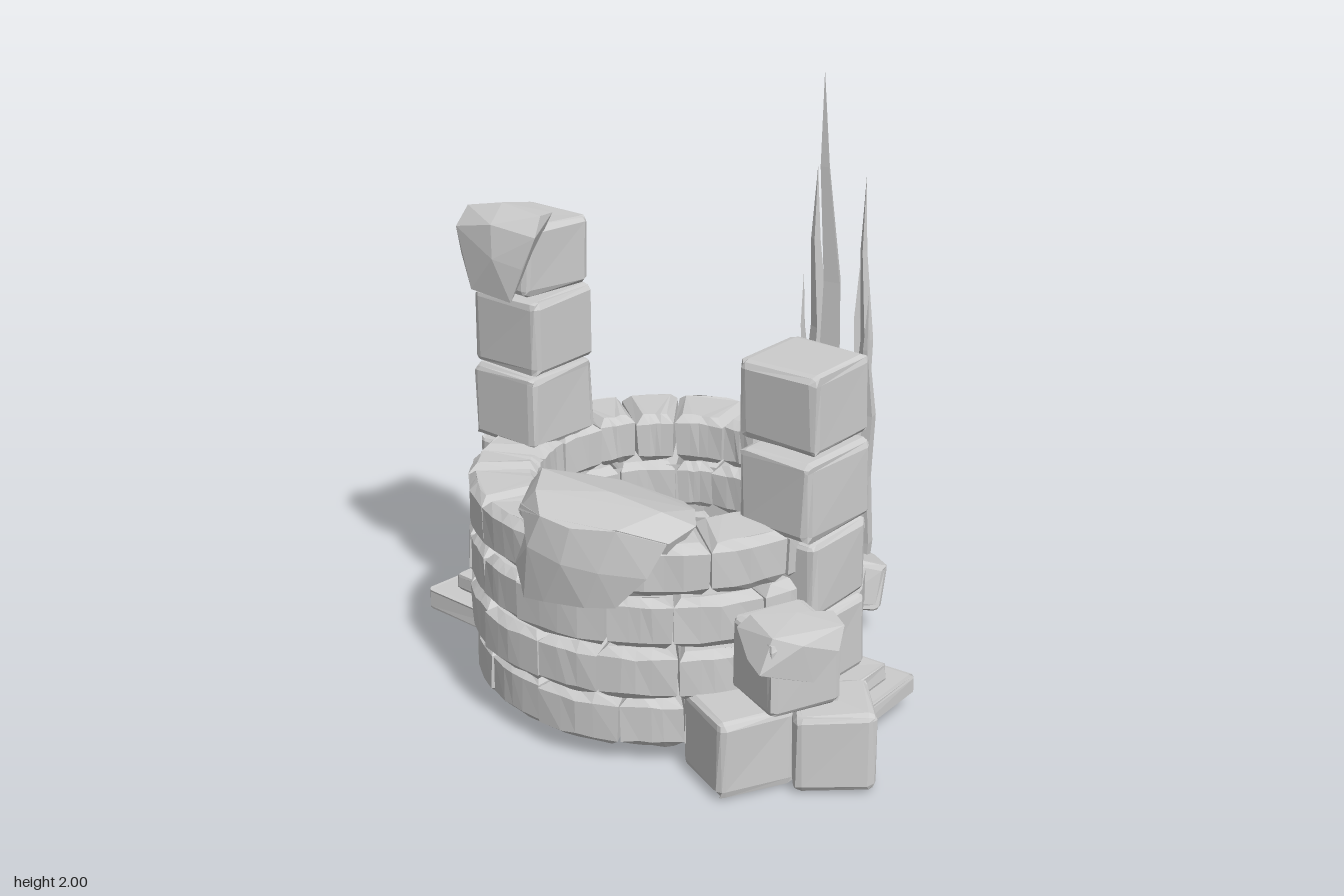
import * as THREE from 'three';
import { RoundedBoxGeometry } from 'three/addons/geometries/RoundedBoxGeometry.js';
import { ConvexGeometry } from 'three/addons/geometries/ConvexGeometry.js';

export function createModel() {
  const root = new THREE.Group();
  root.name = 'ruinedWell';
  // Bricks are open underneath, so both sides show
  const stone = new THREE.MeshStandardMaterial({ color: 0xcccccc, flatShading: true, side: THREE.DoubleSide });
  stone.name = 'paleStone';

  let seed = 7;
  const rnd = () => (seed = (seed * 16807) % 2147483647) / 2147483647;

  const add = (geo, name, parent = root) => {
    geo.computeVertexNormals();
    const m = new THREE.Mesh(geo, stone);
    m.name = name;
    parent.add(m);
    return m;
  };

  const group = (name) => {
    const g = new THREE.Group();
    g.name = name;
    root.add(g);
    return g;
  };

  // Shift equal corners equally so the chipped faces stay joined
  const chip = (geo, amount) => {
    const p = geo.attributes.position, s = rnd() * 50;
    for (let i = 0; i < p.count; i++) {
      const c = [p.getX(i), p.getY(i), p.getZ(i)];
      const k = c.map((v) => Math.round(v * 500));
      const n = (q) => {
        const v = Math.sin(k[0] * 12.99 + k[1] * 78.23 + k[2] * 37.72 + q * 19.1 + s) * 4375.85;
        return (v - Math.floor(v) - 0.5) * amount;
      };
      p.setXYZ(i, c[0] + n(1), c[1] + n(2), c[2] + n(3));
    }
    return geo;
  };

  // Chamfered block: centre, size, rotation
  const block = (name, parent, [x, y, z], [w, h, d], [rx, ry, rz] = [0, 0, 0], bevel = 0.024) => {
    const m = add(chip(new RoundedBoxGeometry(w, h, d, 1, bevel), 0.01), name, parent);
    m.position.set(x, y, z);
    m.rotation.set(rx, ry, rz);
    return m;
  };

  // Curved brick with bevelled edges and an open underside
  const brickGeometry = (a0, a1, ri, ro, h) => {
    const b = 0.026;
    const shape = new THREE.Shape();
    shape.absarc(0, 0, ro - b, a0 + b / ro, a1 - b / ro, false);
    shape.absarc(0, 0, ri + b, a1 - b / ri, a0 + b / ri, true);
    const full = new THREE.ExtrudeGeometry(shape, {
      depth: h - 2 * b, bevelThickness: b, bevelSize: b, bevelSegments: 1, curveSegments: 2,
    }).translate(0, 0, b).rotateX(-Math.PI / 2);
    const src = full.attributes.position.array, kept = [];
    for (let i = 0; i < src.length; i += 9) {
      if (Math.max(src[i + 1], src[i + 4], src[i + 7]) > 0.001) kept.push(...src.slice(i, i + 9));
    }
    const geo = new THREE.BufferGeometry();
    geo.setAttribute('position', new THREE.Float32BufferAttribute(kept, 3));
    return geo;
  };

  // Four courses of bricks; a stretch of the top course has fallen out
  const wall = group('wellWall');
  wall.position.set(-0.06, 0, 0.17);
  [0.64, 0.658, 0.652, 0.65].forEach((radius, row) => {
    const gap = row === 3 ? [0.9, 1.48] : null;
    const span = gap ? Math.PI * 2 - (gap[1] - gap[0]) : Math.PI * 2;
    const widths = Array.from({ length: gap ? 15 : 16 }, () => 0.7 + rnd() * 0.6);
    const total = widths.reduce((a, b) => a + b);
    let a = gap ? gap[1] : row * 0.21;
    for (const w of widths) {
      const next = a + (w / total) * span;
      const ro = radius + rnd() * 0.015;
      const geo = brickGeometry(a + 0.004, next - 0.004, 0.42 + rnd() * 0.012, ro, 0.175);
      add(chip(geo, 0.008), 'brick', wall).position.y = 0.057 + row * 0.18;
      a = next;
    }
  });
  // Inner lining behind the joints
  add(new THREE.CylinderGeometry(0.445, 0.445, 0.5, 32, 1, true), 'lining', wall).position.y = 0.33;

  // Stepped footings under the pillars
  const steps = group('footings');
  block('lowerSlab', steps, [-0.665, 0.1, 0.19], [0.54, 0.08, 0.52], [0, -0.06, 0], 0.012);
  block('upperSlab', steps, [-0.63, 0.17, 0.18], [0.44, 0.065, 0.42], [0, -0.05, 0], 0.012);
  block('lowerSlab', steps, [0.505, 0.09, 0.12], [0.52, 0.07, 0.5], [0, 0.06, 0], 0.012);
  block('upperSlab', steps, [0.49, 0.15, 0.14], [0.43, 0.065, 0.39], [0, 0.05, 0], 0.012);

  // Pillars of stacked blocks
  const right = group('rightPillar');
  [[-0.63, 0.33, 0.18], [-0.64, 0.61, 0.17], [-0.635, 0.88, 0.19], [-0.635, 1.15, 0.18], [-0.635, 1.418, 0.2]]
    .forEach((c, i) => block('pillarBlock', right, c, [0.285, i === 4 ? 0.24 : 0.265, 0.3],
      [i === 4 ? -0.07 : 0, (i % 2 ? 1 : -1) * 0.025, 0]));
  const left = group('leftPillar');
  [[0.5, 0.32, 0.145], [0.505, 0.595, 0.155], [0.52, 0.875, 0.175], [0.495, 1.152, 0.15]]
    .forEach((c, i) => block('pillarBlock', left, c, [i === 3 ? 0.3 : 0.285, 0.265, i === 2 ? 0.33 : 0.3],
      [0, (i % 2 ? 1 : -1) * 0.025, 0]));

  // Fallen blocks at the front, the back and inside the well
  const rubble = group('fallenBlocks');
  block('frontBlock', rubble, [0.56, 0.135, 0.56], [0.27, 0.265, 0.265], [0, -0.45, 0]);
  block('sideBlock', rubble, [0.785, 0.135, 0.37], [0.255, 0.265, 0.255], [0, -0.85, 0]);
  block('stackedBlock', rubble, [0.665, 0.405, 0.455], [0.255, 0.26, 0.255], [0, -0.4, 0]);
  block('backBlock', rubble, [-0.24, 0.175, -0.595], [0.21, 0.2, 0.2], [-0.25, 0.03, -0.25]);
  block('backBlock', rubble, [0.015, 0.17, -0.595], [0.21, 0.21, 0.19], [-0.15, -0.1, 0]);
  block('backBlock', rubble, [0.23, 0.175, -0.515], [0.2, 0.18, 0.18], [-0.3, -0.7, 0]);
  block('innerBlock', rubble, [-0.29, 0.17, -0.01], [0.24, 0.23, 0.24], [0, -0.72, 0]);

  // Faceted boulders draped over the stonework
  const boulder = (name, pts) =>
    add(new ConvexGeometry(pts.map((p) => new THREE.Vector3(...p))), name);
  boulder('wallBoulderTop', [
    [0.09, 0.87, 0.62], [-0.2, 0.79, 0.43], [-0.11, 0.76, 0.34], [0.13, 0.74, 0.31], [0.27, 0.79, 0.42],
    [0.38, 0.81, 0.55], [0.37, 0.79, 0.67], [0.3, 0.86, 0.62], [0.24, 0.83, 0.76], [-0.02, 0.83, 0.83],
    [-0.12, 0.86, 0.74], [-0.22, 0.86, 0.6], [-0.27, 0.8, 0.6], [-0.24, 0.72, 0.68], [-0.18, 0.78, 0.76],
    [0.1, 0.82, 0.82], [-0.1, 0.7, 0.37], [0.13, 0.68, 0.34], [0.26, 0.7, 0.46], [0.34, 0.7, 0.66],
    [-0.24, 0.71, 0.58],
  ]);
  boulder('wallBoulderFront', [
    [-0.18, 0.8, 0.75], [-0.02, 0.83, 0.83], [0.1, 0.82, 0.825], [0.24, 0.83, 0.77], [0.37, 0.79, 0.68],
    [0.33, 0.68, 0.73], [0.24, 0.57, 0.775], [0.15, 0.56, 0.82], [0.0, 0.545, 0.845], [-0.09, 0.53, 0.84],
    [-0.14, 0.63, 0.82], [-0.06, 0.72, 0.85], [0.08, 0.7, 0.85], [0.2, 0.69, 0.81],
    [-0.08, 0.56, 0.76], [0.22, 0.59, 0.72], [-0.12, 0.78, 0.68], [0.28, 0.78, 0.62],
  ]);
  boulder('pillarBoulder', [
    [-0.79, 1.57, 0.32], [-0.74, 1.56, 0.23], [-0.63, 1.58, 0.2], [-0.49, 1.58, 0.23], [-0.65, 1.6, 0.3],
    [-0.47, 1.59, 0.31], [-0.45, 1.53, 0.36], [-0.79, 1.51, 0.38], [-0.62, 1.55, 0.39], [-0.49, 1.42, 0.385],
    [-0.77, 1.42, 0.38], [-0.6, 1.44, 0.41], [-0.71, 1.31, 0.4], [-0.53, 1.3, 0.4], [-0.63, 1.53, 0.22],
  ]);
  boulder('rubbleBoulder', [
    [0.7, 0.575, 0.45], [0.58, 0.56, 0.53], [0.78, 0.575, 0.37], [0.86, 0.57, 0.42], [0.87, 0.5, 0.46],
    [0.55, 0.52, 0.56], [0.72, 0.55, 0.6], [0.8, 0.53, 0.55], [0.71, 0.44, 0.65], [0.82, 0.4, 0.52],
    [0.64, 0.46, 0.62], [0.6, 0.52, 0.4], [0.76, 0.42, 0.59],
  ]);

  // Tall tapering blades: diamond rings along a slightly wavy path
  const blade = (base, tip, hw, hd, turn) => {
    const levels = [[0, 0.6], [0.2, 0.85], [0.42, 1], [0.62, 0.75], [0.83, 0.4], [1, 0]];
    const pos = [], idx = [];
    levels.forEach(([t, s], i) => {
      const sway = [0, 0.012, 0, 0.012, -0.002, 0][i];
      for (let k = 0; k < 4; k++) {
        const a = (k * Math.PI) / 2, u = Math.cos(a) * hw * s, v = Math.sin(a) * hd * s;
        pos.push(
          THREE.MathUtils.lerp(base[0], tip[0], t) + u * Math.cos(turn) - v * Math.sin(turn) + sway,
          THREE.MathUtils.lerp(base[1], tip[1], t),
          THREE.MathUtils.lerp(base[2], tip[2], t) + u * Math.sin(turn) + v * Math.cos(turn) - sway);
        if (i) {
          const p = (i - 1) * 4, n = (k + 1) % 4;
          idx.push(p + k, p + 4 + k, p + n, p + n, p + 4 + k, p + 4 + n);
        }
      }
    });
    idx.push(0, 1, 2, 0, 2, 3);
    const geo = new THREE.BufferGeometry();
    geo.setAttribute('position', new THREE.Float32BufferAttribute(pos, 3));
    geo.setIndex(idx);
    return geo;
  };
  const grass = group('tallBlades');
  [
    [[0.09, 0.05, -0.575], [0.06, 2, -0.525], 0.065, 0.045, 0.4],
    [[-0.075, 0.05, -0.67], [-0.075, 1.61, -0.68], 0.045, 0.03, -0.25],
    [[0.125, 0.05, -0.68], [0.135, 1.61, -0.675], 0.03, 0.052, -0.4],
    [[-0.09, 0.05, -0.64], [-0.1, 1.23, -0.64], 0.025, 0.025, 0.2],
    [[0.2, 0.05, -0.6], [0.215, 1.22, -0.59], 0.03, 0.03, 0.6],
    [[0.03, 0.07, -0.795], [0.035, 1.24, -0.79], 0.024, 0.045, 0.3],
  ].forEach((b) => add(blade(...b), 'blade', grass));

  return root;
}
